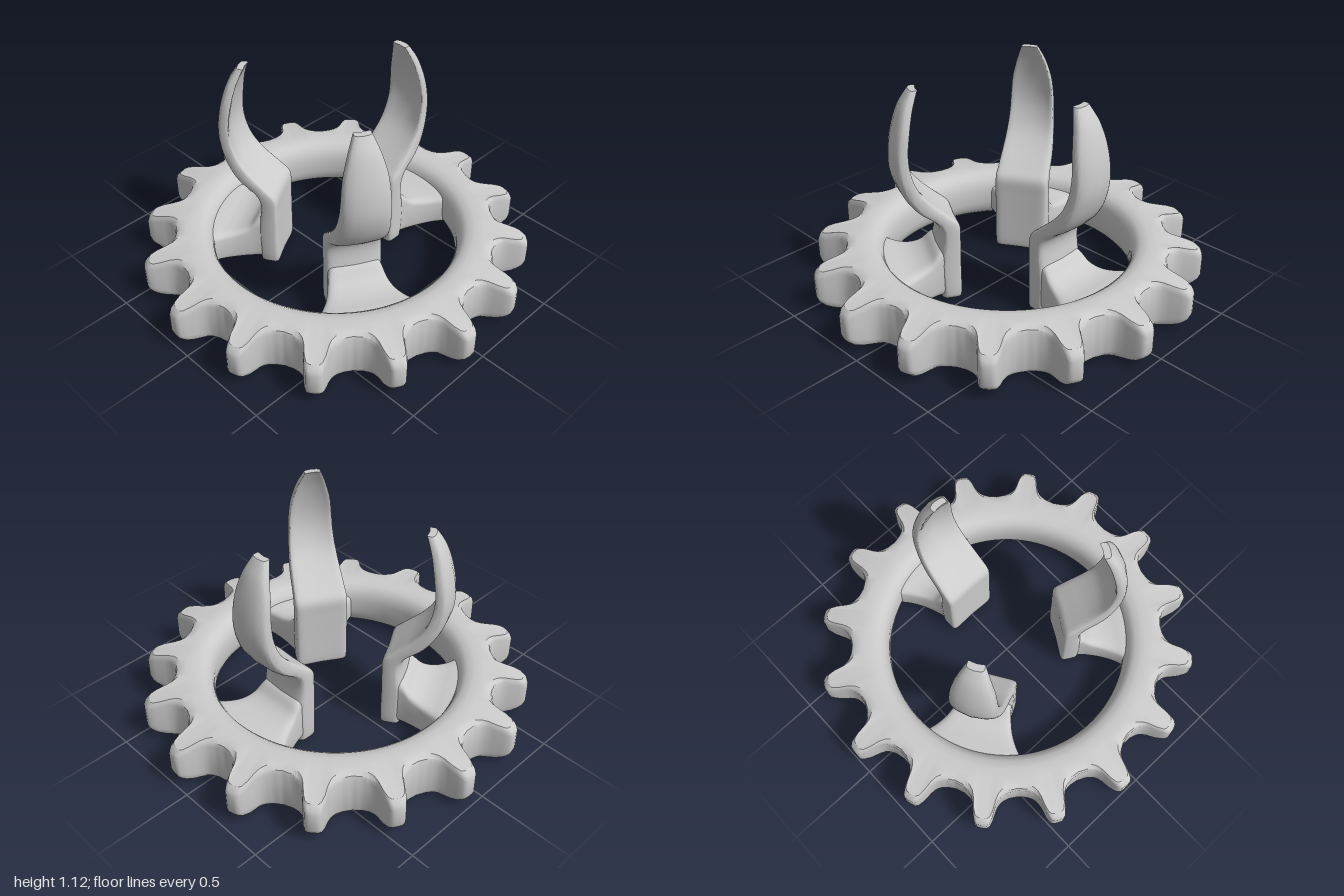
import * as THREE from 'three';
import { toCreasedNormals } from 'three/addons/utils/BufferGeometryUtils.js';

const TEETH = 16, HEIGHT = 0.27;
const material = new THREE.MeshStandardMaterial({ color: 0xcccccc });

// Skin a list of closed loops of points; either joined end to end or capped
function loft(loops, joined, crease) {
  const n = loops[0].length, m = loops.length, pos = [], idx = [];
  loops.forEach(l => l.forEach(p => pos.push(...p)));
  for (let j = 0; j < (joined ? m : m - 1); j++) for (let i = 0; i < n; i++) {
    const k = (j + 1) % m, h = (i + 1) % n;
    const a = j * n + i, b = k * n + i, c = j * n + h, d = k * n + h;
    idx.push(a, b, c, c, b, d);
  }
  if (!joined) {
    for (const j of [0, m - 1]) {
      const c = pos.length / 3;
      pos.push(...[0, 1, 2].map(q => loops[j].reduce((s, p) => s + p[q], 0) / n));
      for (let i = 0; i < n; i++) {
        const a = j * n + i, b = j * n + (i + 1) % n;
        j === 0 ? idx.push(c, a, b) : idx.push(c, b, a);
      }
    }
  }
  const g = new THREE.BufferGeometry();
  g.setAttribute('position', new THREE.Float32BufferAttribute(pos, 3));
  g.setIndex(idx);
  return toCreasedNormals(g, crease);
}

// Rounded-square outline, u and v in -1..1
function roundedSquare(power, n = 32) {
  const f = a => Math.sign(a) * Math.pow(Math.abs(a), power);
  return Array.from({ length: n }, (_, i) => {
    const t = (i / n) * Math.PI * 2;
    return [f(Math.cos(t)), f(Math.sin(t))];
  });
}

// Smoothly resample rows of numbers
function resample(rows, steps) {
  const out = [];
  const at = i => rows[Math.max(0, Math.min(rows.length - 1, i))];
  for (let i = 0; i < rows.length - 1; i++) for (let s = 0; s < steps; s++) {
    const t = s / steps;
    out.push(rows[i].map((_, q) => {
      const a = at(i - 1)[q], b = at(i)[q], c = at(i + 1)[q], d = at(i + 2)[q];
      return b + 0.5 * t * (c - a + t * (2 * a - 5 * b + 4 * c - d + t * (3 * (b - c) + d - a)));
    }));
  }
  out.push(rows[rows.length - 1]);
  return out;
}

// Outer radius against degrees from the middle of a tooth
const toothProfile = [[0, 1], [1.8, 0.997], [2.6, 0.98], [3.1, 0.95], [3.8, 0.9],
  [4.7, 0.868], [6, 0.85], [8, 0.834], [11.25, 0.826]];
function toothRadius(deg) {
  const d = Math.abs(deg);
  let i = 0;
  while (i < toothProfile.length - 2 && toothProfile[i + 1][0] < d) i++;
  const [a, ra] = toothProfile[i], [b, rb] = toothProfile[i + 1];
  return ra + (rb - ra) * (d - a) / (b - a);
}

// Toothed ring: rounded inside, faces falling away towards the tips
function gearRing() {
  const per = 30, pitch = 360 / TEETH, loops = [];
  const faceY = r => HEIGHT - 0.05 * Math.pow(Math.max(0, (r - 0.72) / 0.28), 2);
  for (let k = 0; k < TEETH * per; k++) {
    const off = ((k % per) / per - 0.5) * pitch;
    const a = THREE.MathUtils.degToRad(Math.floor(k / per) * pitch + off + 5.5);
    const R = toothRadius(off), h = faceY(R);
    const top = [[0.632, 0.175], [0.64, 0.21], [0.655, 0.24], [0.68, 0.26], [0.72, HEIGHT],
      [0.77, faceY(0.77)], [R - 0.03, faceY(R - 0.03)], [R - 0.008, h - 0.012], [R, h - 0.035]];
    const bottom = top.map(([r, y]) => [r, HEIGHT - y]).reverse();
    loops.push([...top, ...bottom].map(([r, y]) => [r * Math.cos(a), y, r * Math.sin(a)]));
  }
  return loft(loops, true, 0.6);
}

// Upright prong: inner radius, inner y, outer radius, outer y, half width, bow
const prongRows = [
  [0.29, 0.01, 0.38, 0.01, 0.125, 0.01], [0.278, 0.03, 0.385, 0.03, 0.14, 0.01],
  [0.278, 0.2, 0.39, 0.2, 0.142, 0.01], [0.278, 0.34, 0.372, 0.34, 0.142, 0.01],
  [0.282, 0.425, 0.38, 0.41, 0.142, 0.01], [0.33, 0.475, 0.415, 0.455, 0.139, 0.012],
  [0.42, 0.555, 0.49, 0.51, 0.134, 0.018], [0.488, 0.635, 0.55, 0.595, 0.127, 0.025],
  [0.525, 0.73, 0.588, 0.71, 0.119, 0.03], [0.533, 0.82, 0.59, 0.82, 0.114, 0.03],
  [0.52, 0.92, 0.57, 0.93, 0.103, 0.028], [0.492, 1.02, 0.537, 1.03, 0.077, 0.02],
  [0.462, 1.09, 0.502, 1.09, 0.053, 0.012], [0.447, 1.118, 0.482, 1.118, 0.041, 0.008]];
function prong() {
  const outline = roundedSquare(0.35);
  return loft(resample(prongRows, 4).map(([ri, yi, ro, yo, w, bow]) => outline.map(([u, v]) => {
    const t = (v + 1) / 2;
    return [u * w, yi + (yo - yi) * t, ri + (ro - ri) * t - bow * u * u];
  })), false, 0.8);
}

// Flared arm to the ring: radius, half width, bottom y, top y
const armRows = [[0.31, 0.13, 0.02, 0.3], [0.38, 0.14, 0.02, 0.28], [0.43, 0.155, 0.02, 0.23],
  [0.49, 0.18, 0.02, 0.205], [0.55, 0.218, 0.025, 0.2], [0.6, 0.26, 0.03, 0.205], [0.66, 0.29, 0.04, 0.21]];
function arm() {
  const outline = roundedSquare(0.3);
  return loft(resample(armRows, 4).map(([r, w, lo, hi]) => outline.map(([u, v]) =>
    [u * w, (lo + hi) / 2 - v * (hi - lo) / 2, r])), false, 0.8);
}

export function createModel() {
  const model = new THREE.Group();
  model.name = 'prongedGear';
  const add = (parent, name, geometry) => {
    const mesh = new THREE.Mesh(geometry, material);
    mesh.name = name;
    parent.add(mesh);
  };
  add(model, 'gearRing', gearRing());

  // Three prongs, one at the back and two towards the front
  const prongGeometry = prong(), armGeometry = arm();
  ['backProng', 'frontLeftProng', 'frontRightProng'].forEach((name, i) => {
    const holder = new THREE.Group();
    holder.name = name;
    add(holder, 'prong', prongGeometry);
    add(holder, 'prongArm', armGeometry);
    holder.rotation.y = Math.PI + [0, -1, 1][i] * Math.PI * 2 / 3;
    model.add(holder);
  });
  return model;
}
